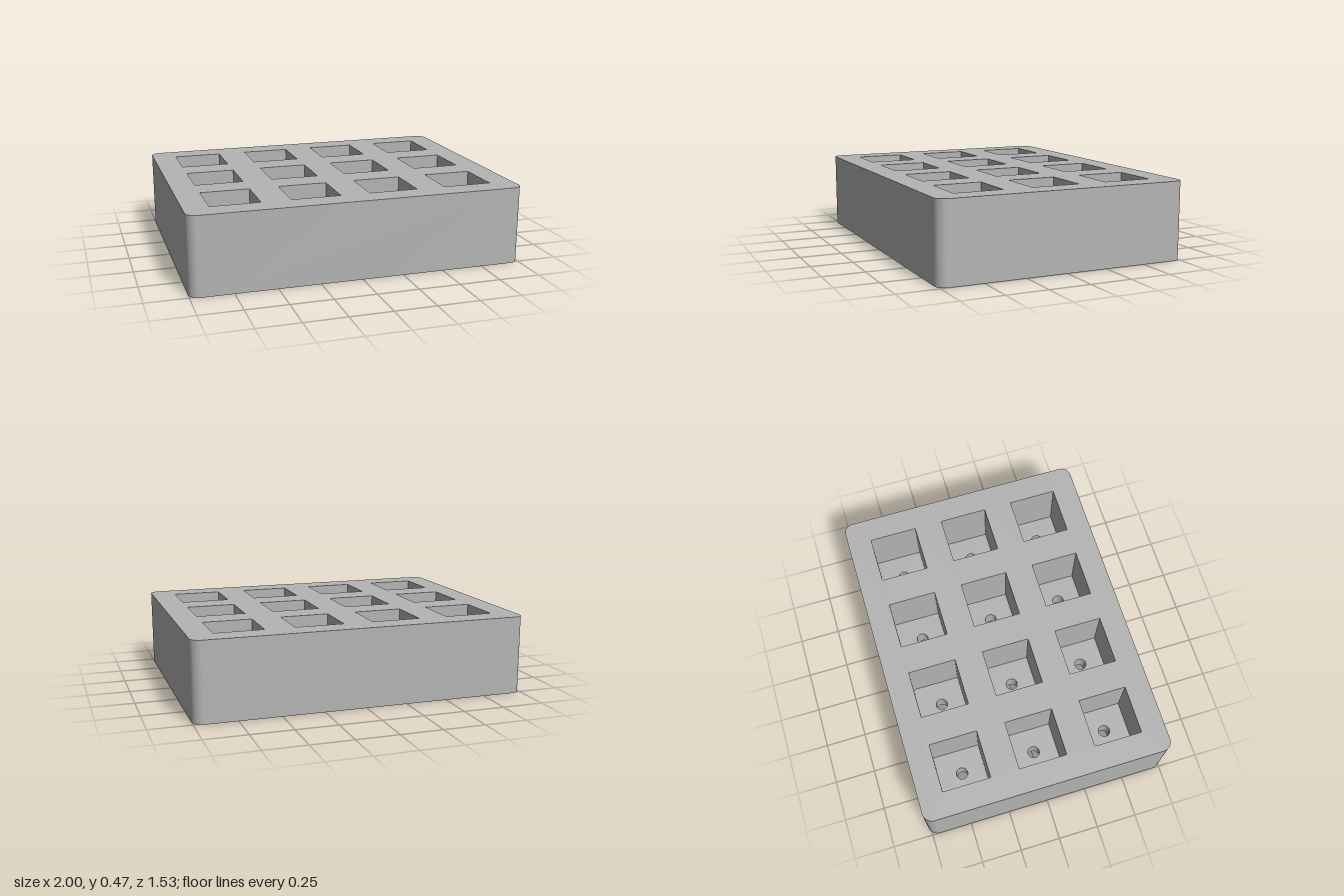
import * as THREE from 'three';
import { toCreasedNormals } from 'three/addons/utils/BufferGeometryUtils.js';

const W = 2, D = 1.53, H = 0.47;      // block size
const CORNER = 0.06;                  // vertical corner radius
const PITCH = 0.47, POCKET = 0.294;   // pocket spacing and width
const HOLE = 0.036, FLOOR = 0.12;     // drain radius and floor height

// Outline of the block with rounded corners, counter-clockwise
function roundedRect(w, d, r) {
  const s = new THREE.Shape(), x = w / 2 - r, y = d / 2 - r;
  s.absarc(x, y, r, 0, Math.PI / 2);
  s.absarc(-x, y, r, Math.PI / 2, Math.PI);
  s.absarc(-x, -y, r, Math.PI, Math.PI * 1.5);
  s.absarc(x, -y, r, Math.PI * 1.5, Math.PI * 2);
  s.closePath();
  return s;
}

function square(cx, cy, size) {
  const h = size / 2;
  return new THREE.Shape([[-h, -h], [h, -h], [h, h], [-h, h]]
    .map(([x, y]) => new THREE.Vector2(cx + x, cy + y)));
}

function circle(cx, cy, r) {
  const s = new THREE.Shape();
  s.absarc(cx, cy, r, 0, Math.PI * 2);
  return s;
}

// Vertical wall along an outline; inward walls face the inside of a cavity
function wall(shape, y0, y1, inward = false) {
  const pts = shape.getPoints(16);
  if (inward) pts.reverse();
  const pos = [];
  pts.forEach((a, i) => {
    const b = pts[(i + 1) % pts.length];
    if (a.distanceTo(b) < 1e-6) return;
    pos.push(a.x, y0, -a.y, b.x, y0, -b.y, b.x, y1, -b.y);
    pos.push(a.x, y0, -a.y, b.x, y1, -b.y, a.x, y1, -a.y);
  });
  const g = new THREE.BufferGeometry();
  g.setAttribute('position', new THREE.Float32BufferAttribute(pos, 3));
  return toCreasedNormals(g, Math.PI / 5);
}

// Flat face with openings, facing up or down
function face(shape, holes, y, down = false) {
  shape.holes = holes;
  const g = new THREE.ShapeGeometry(shape, 16);
  g.rotateX(down ? Math.PI / 2 : -Math.PI / 2);
  return g.translate(0, y, 0);
}

export function createModel() {
  const model = new THREE.Group();
  model.name = 'pocketTray';
  const grey = new THREE.MeshStandardMaterial({ color: 0xb4b4b4 });
  grey.name = 'grey';
  const add = (name, geometry, parent = model) => {
    const mesh = new THREE.Mesh(geometry, grey);
    mesh.name = name;
    parent.add(mesh);
  };

  // Four by three grid of pocket centres
  const centres = [];
  for (let i = 0; i < 4; i++)
    for (let j = 0; j < 3; j++) centres.push([(i - 1.5) * PITCH, (j - 1) * PITCH]);

  // Block shell
  add('outerWall', wall(roundedRect(W, D, CORNER), 0, H));
  add('topFace', face(roundedRect(W, D, CORNER), centres.map(([x, y]) => square(x, y, POCKET)), H));
  add('underside', face(roundedRect(W, D, CORNER), centres.map(([x, y]) => circle(x, y, HOLE)), 0, true));

  // Square pockets, each with a round drain hole through its floor
  for (const [x, y] of centres) {
    const pocket = new THREE.Group();
    pocket.name = 'pocket';
    add('pocketWalls', wall(square(x, y, POCKET), FLOOR, H, true), pocket);
    add('pocketFloor', face(square(x, y, POCKET), [circle(x, y, HOLE)], FLOOR), pocket);
    add('drainHole', wall(circle(x, y, HOLE), 0, FLOOR, true), pocket);
    model.add(pocket);
  }
  return model;
}
